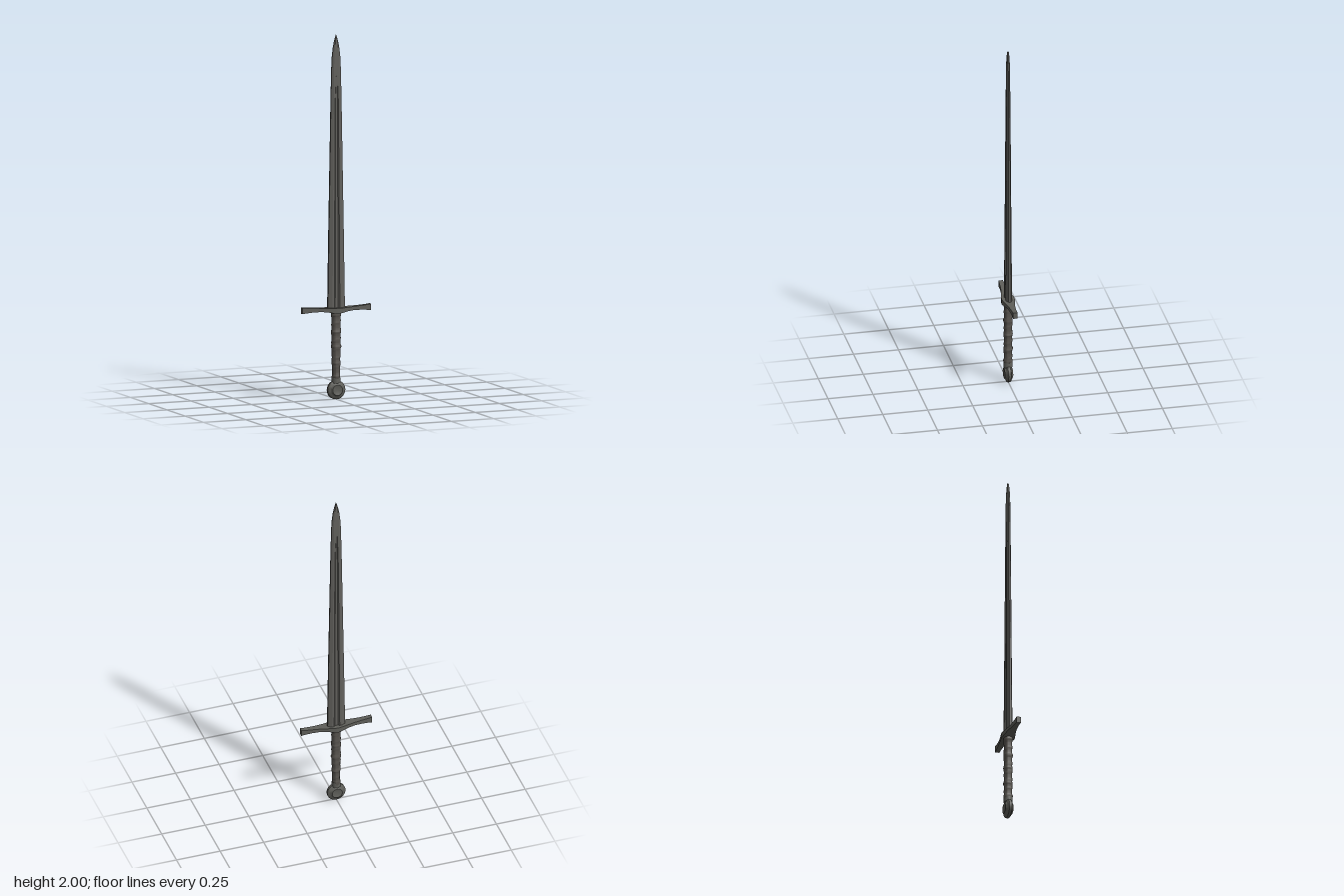
import * as THREE from 'three';
import { toCreasedNormals } from 'three/addons/utils/BufferGeometryUtils.js';

const steel = new THREE.MeshStandardMaterial({ color: 0x62615d });
steel.name = 'dark steel';
const iron = new THREE.MeshStandardMaterial({ color: 0x5f5f5a });
iron.name = 'dull iron';
const leather = new THREE.MeshStandardMaterial({ color: 0x595550 });
leather.name = 'worn leather';

// Skins a list of equal-length rings and closes both ends
function loft(rings, crease) {
  const n = rings[0].length;
  const pos = rings.flat(2);
  const index = [];
  for (let i = 0; i < rings.length - 1; i++) {
    for (let j = 0; j < n; j++) {
      const a = i * n + j, b = i * n + (j + 1) % n;
      index.push(a, a + n, b, b, a + n, b + n);
    }
  }
  for (const end of [0, rings.length - 1]) {
    const centre = [0, 1, 2].map(k => rings[end].reduce((s, p) => s + p[k], 0) / n);
    const c = pos.length / 3;
    pos.push(...centre);
    for (let j = 0; j < n; j++) {
      const a = end * n + j, b = end * n + (j + 1) % n;
      if (end) index.push(c, b, a); else index.push(c, a, b);
    }
  }
  const g = new THREE.BufferGeometry();
  g.setAttribute('position', new THREE.Float32BufferAttribute(pos, 3));
  g.setIndex(index);
  return toCreasedNormals(g, crease);
}

function add(group, name, geometry, material) {
  const mesh = new THREE.Mesh(geometry, material);
  mesh.name = name;
  group.add(mesh);
  return mesh;
}

// Blade section: blunt edges, bevels and a central groove on each face
function bladeRing([y, w, t, groove, depth]) {
  const e = t * 0.4;
  const half = [
    [w, e], [Math.max(w * 0.55, groove), t], [groove, t], [groove * 0.55, t - depth],
    [-groove * 0.55, t - depth], [-groove, t], [-Math.max(w * 0.55, groove), t], [-w, e],
  ];
  return [...half, ...half.map(([x, z]) => [-x, -z])].map(([x, z]) => [x, y, z]);
}

export function createModel() {
  const sword = new THREE.Group();
  sword.name = 'sword';

  // Blade: y, half width, half thickness, groove half width, groove depth
  const stations = [
    [0.49, 0.050, 0.017, 0.016, 0.007],
    [0.9, 0.044, 0.014, 0.014, 0.006],
    [1.3, 0.037, 0.012, 0.012, 0.005],
    [1.65, 0.031, 0.010, 0.009, 0.004],
    [1.78, 0.028, 0.009, 0.004, 0],
    [1.87, 0.025, 0.009, 0.003, 0],
    [1.93, 0.018, 0.008, 0.002, 0],
    [1.97, 0.010, 0.007, 0.002, 0],
    [2.0, 0.001, 0.004, 0.0005, 0],
  ];
  add(sword, 'blade', loft(stations.map(bladeRing), 0.3), steel);

  // Crossguard: x, bottom, top, half depth; flared tips
  const halfGuard = [
    [0, 0.472, 0.503, 0.037], [0.025, 0.476, 0.503, 0.033], [0.06, 0.483, 0.504, 0.026],
    [0.1, 0.486, 0.506, 0.019], [0.14, 0.485, 0.508, 0.015],
    [0.18, 0.482, 0.511, 0.013], [0.202, 0.479, 0.514, 0.012],
  ];
  const guard = [...halfGuard.slice(1).reverse().map(([x, ...r]) => [-x, ...r]), ...halfGuard];
  const guardRings = guard.map(([x, y0, y1, d]) => {
    const z = x * 0.015;
    return [[x, y0, z + d], [x, y1, z + d], [x, y1, z - d], [x, y0, z - d]];
  });
  add(sword, 'crossguard', loft(guardRings, 0.6), iron);

  // Grip with spiral wrapping and a few raised bands
  const gripRings = [];
  const sides = 20, steps = 74;
  for (let i = 0; i <= steps; i++) {
    const y = 0.105 + 0.375 * i / steps;
    const rx = 0.019 + 0.006 * Math.min(1, (y - 0.105) / 0.18);
    let band = 0;
    for (const by of [0.125, 0.2, 0.29, 0.37, 0.465]) {
      band = Math.max(band, 0.003 * Math.exp(-(((y - by) / 0.009) ** 2)));
    }
    const ring = [];
    for (let j = 0; j < sides; j++) {
      const a = j / sides * Math.PI * 2;
      const wrap = 0.0018 * Math.max(0, Math.cos(a + y * 130)) ** 2;
      ring.push([Math.cos(a) * (rx + band + wrap), y, Math.sin(a) * (0.0225 + band + wrap)]);
    }
    gripRings.push(ring);
  }
  add(sword, 'grip', loft(gripRings, 0.9), leather);

  // Wheel pommel with a raised boss on both faces
  const profile = [
    [0, -0.020], [0.022, -0.021], [0.029, -0.023], [0.033, -0.020], [0.036, -0.015],
    [0.047, -0.012], [0.052, -0.007], [0.052, 0.007], [0.047, 0.012],
    [0.036, 0.015], [0.033, 0.020], [0.029, 0.023], [0.022, 0.021], [0, 0.020],
  ].map(([r, h]) => new THREE.Vector2(r, h));
  const wheel = toCreasedNormals(new THREE.LatheGeometry(profile, 32), 0.6);
  wheel.rotateX(Math.PI / 2);
  add(sword, 'pommel', wheel, iron).position.y = 0.052;

  // Neck joining the pommel to the grip
  const neck = new THREE.CylinderGeometry(0.023, 0.025, 0.03, 16);
  add(sword, 'pommelNeck', neck, iron).position.y = 0.105;

  return sword;
}
